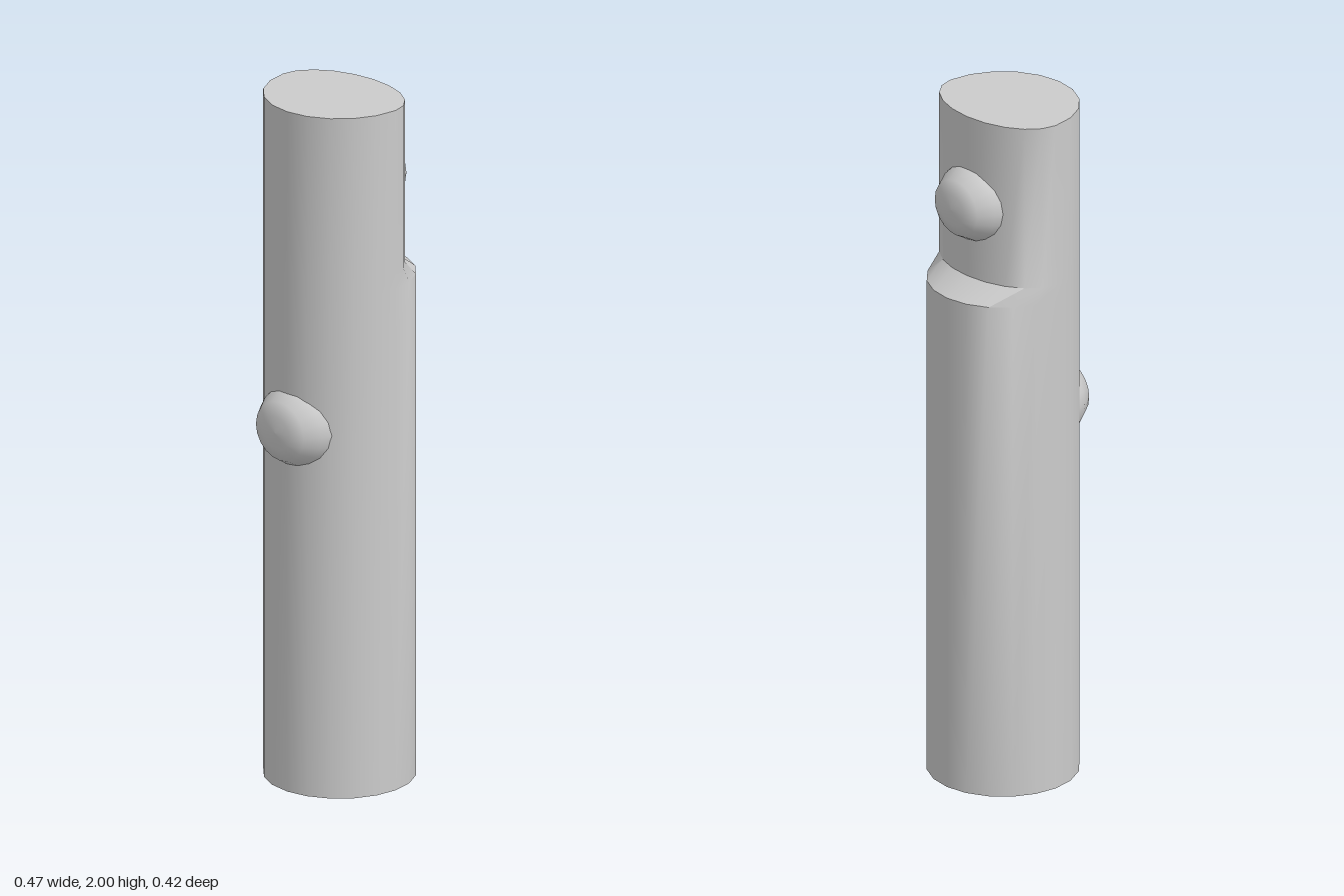
import * as THREE from 'three';
import { toCreasedNormals } from 'three/addons/utils/BufferGeometryUtils.js';

const material = new THREE.MeshStandardMaterial({ color: 0xcccccc });
const AXIS_X = 0.024, RADIUS = 0.212, SQUASH = 0.645;

// 20-sided post whose upper +x half steps in over a sloped shoulder
function makeBody() {
  const levels = [0, 1.475, 1.52, 2];
  const geo = new THREE.CylinderGeometry(RADIUS, RADIUS, 3, 20, 3);
  const pos = geo.attributes.position;
  for (let i = 0; i < pos.count; i++) {
    const row = Math.round(pos.getY(i) + 1.5);
    const x = pos.getX(i);
    pos.setX(i, AXIS_X + (row >= 2 && x > 0 ? x * SQUASH : x));
    pos.setY(i, levels[row]);
  }
  const mesh = new THREE.Mesh(toCreasedNormals(geo, 0.7), material);
  mesh.name = 'body';
  return mesh;
}

// Domed button bulging out along +x (side = 1) or -x (side = -1)
function makeButton(name, side, tipX, y, size) {
  const profile = [[0.13, -0.03], [0.128, 0.008], [0.117, 0.038], [0.09, 0.08], [0.05, 0.097], [0, 0.1]]
    .map(([r, h]) => new THREE.Vector2(r * size, h - 0.1));
  const geo = new THREE.LatheGeometry(profile, 20);
  geo.rotateZ(-side * Math.PI / 2);
  geo.scale(1, 0.95, 1);
  const mesh = new THREE.Mesh(geo, material);
  mesh.position.set(side * tipX, y, 0);
  mesh.name = name;
  return mesh;
}

export function createModel() {
  const group = new THREE.Group();
  group.name = 'steppedPost';
  group.add(
    makeBody(),
    makeButton('upperButton', 1, 0.222, 1.736, 0.95),
    makeButton('lowerButton', -1, 0.237, 1.067, 1)
  );
  return group;
}
